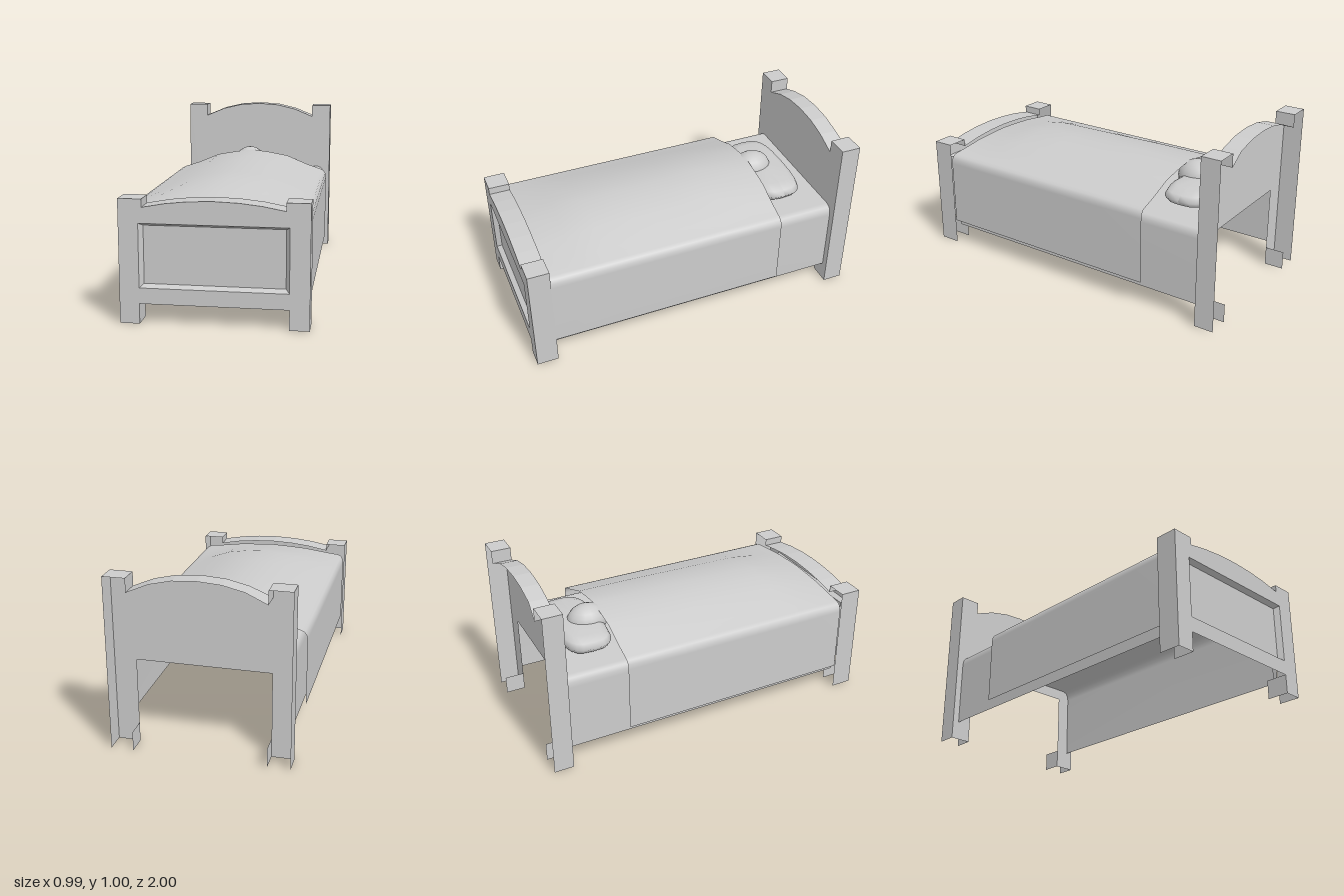
import * as THREE from 'three';

const grey = new THREE.MeshStandardMaterial({ color: 0xcccccc, side: THREE.DoubleSide });

function addMesh(parent, geometry, name) {
  const mesh = new THREE.Mesh(geometry, grey);
  mesh.name = name;
  parent.add(mesh);
  return mesh;
}

// Skin a surface through rows of [x, y, z] points of equal length
function loft(rows, flat = false) {
  const n = rows[0].length;
  const index = [];
  for (let r = 0; r < rows.length - 1; r++) {
    for (let i = 0; i < n - 1; i++) {
      const a = r * n + i, b = a + 1, c = a + n, d = c + 1;
      index.push(a, b, c, b, d, c);
    }
  }
  let geo = new THREE.BufferGeometry();
  geo.setAttribute('position', new THREE.Float32BufferAttribute(rows.flat(2), 3));
  geo.setIndex(index);
  if (flat) geo = geo.toNonIndexed();
  geo.computeVertexNormals();
  return geo;
}

// Mirror a half profile running from +x to the centre line
function mirrored(half) {
  return [...half, ...half.slice(0, -1).reverse().map(([x, y]) => [-x, y])];
}

// Board with two posts: a front face plus rims turned backwards, open at the back
function board(name, { z, back, postTop, legX, underside, arch, archBack, window }) {
  const group = new THREE.Group();
  group.name = name;
  const outerX = 0.495, innerX = 0.37;
  const rim = mirrored([[outerX, 0], [outerX, postTop], [innerX, postTop], ...arch]);
  const outline = [...rim, [-legX, 0], [-legX, underside], [legX, underside], [legX, 0]];
  const shape = new THREE.Shape(outline.map(([x, y]) => new THREE.Vector2(x, y)));

  if (window) {
    // Recessed panel with sloping edges
    const rect = ([x, y0, y1], d) =>
      [[-x, y0, d], [x, y0, d], [x, y1, d], [-x, y1, d], [-x, y0, d]];
    const outer = rect(window.outer, z), inner = rect(window.inner, window.z);
    shape.holes.push(new THREE.Path(outer.slice(0, 4).map(([x, y]) => new THREE.Vector2(x, y)).reverse()));
    addMesh(group, loft([outer, inner], true), 'panelBevel');
    addMesh(group, loft([[inner[0], inner[1]], [inner[3], inner[2]]], true), 'recessedPanel');
  }
  addMesh(group, new THREE.ShapeGeometry(shape), 'boardFace').position.z = z;

  const rearZ = (x) => (Math.abs(x) < innerX ? archBack : back);
  addMesh(group, loft([
    rim.map(([x, y]) => [x, y, z]),
    rim.map(([x, y]) => [x, y, rearZ(x)]),
  ], true), 'boardRim');

  // Inner sides of the feet
  for (const s of [1, -1]) {
    addMesh(group, loft([
      [[s * legX, 0, z], [s * legX, 0.11, z]],
      [[s * legX, 0, back], [s * legX, 0.11, back]],
    ], true), 'legInnerSide');
  }
  return group;
}

export function createModel() {
  const bed = new THREE.Group();
  bed.name = 'bed';

  bed.add(board('headboard', {
    z: -0.885, back: -1, postTop: 0.985, legX: 0.37, underside: 0.49, archBack: -0.987,
    arch: [[0.37, 0.908], [0.25, 0.958], [0.13, 0.986], [0, 0.995]],
  }));
  bed.add(board('footboard', {
    z: 1, back: 0.875, postTop: 0.662, legX: 0.39, underside: 0.108, archBack: 0.875,
    arch: [[0.37, 0.619], [0.25, 0.641], [0.13, 0.654], [0, 0.659]],
    window: { outer: [0.39, 0.193, 0.535], inner: [0.37, 0.21, 0.52], z: 0.97 },
  }));

  // Mattress shell, open below
  const mattress = mirrored([
    [0.455, 0.11], [0.455, 0.5], [0.451, 0.53], [0.438, 0.55], [0.41, 0.56], [0, 0.56],
  ]);
  addMesh(bed, loft([0.875, -0.885].map((z) => mattress.map(([x, y]) => [x, y, z]))), 'mattress');

  // Blanket draped over a raised middle: [z, height of the rise]
  const stations = [[0.875, 0.04], [0.7, 0.07], [0.53, 0.103], [0.3, 0.108], [0, 0.115], [-0.2, 0.12], [-0.533, 0.12]];
  const blanketRows = stations.map(([z, h]) => mirrored([
    [0.49, 0.15], [0.49, 0.54], [0.486, 0.568], [0.473, 0.587], [0.45, 0.597],
    [0.37, 0.597 + 0.22 * h], [0.23, 0.597 + 0.7 * h], [0.11, 0.597 + 0.88 * h], [0, 0.597 + h],
  ]).map(([x, y]) => [x, y, z]));
  addMesh(bed, loft(blanketRows), 'blanket');

  // Pillow: rounded rectangular rings stacked in height
  const soft = (v) => Math.sign(v) * Math.abs(v) ** 0.6;
  const pillowRings = [[0.01, 0.556], [0.72, 0.556], [0.92, 0.575], [1, 0.605], [0.92, 0.633], [0.72, 0.652], [0.01, 0.656]];
  const pillowRows = pillowRings.map(([s, y]) => Array.from({ length: 25 }, (_, i) => {
    const a = (i / 24) * Math.PI * 2;
    return [0.305 * s * soft(Math.cos(a)), y, -0.65 - 0.148 * s * soft(Math.sin(a))];
  }));
  addMesh(bed, loft(pillowRows), 'pillow');

  // Rounded head resting on the pillow
  const head = addMesh(bed, new THREE.SphereGeometry(1, 16, 12), 'head');
  head.scale.set(0.1, 0.1, 0.12);
  head.position.set(-0.025, 0.63, -0.585);

  return bed;
}
